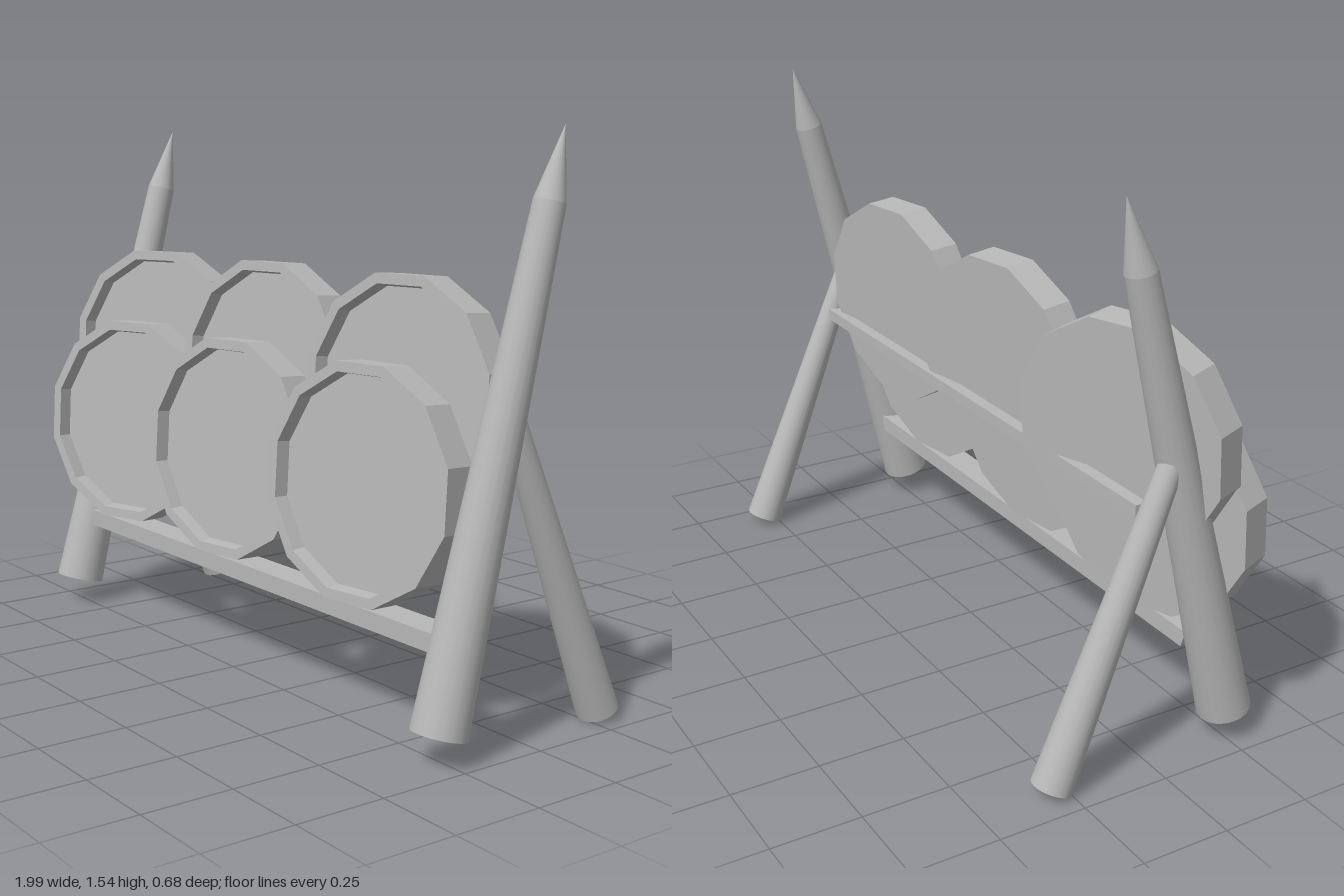
import * as THREE from 'three';

const grey = new THREE.MeshStandardMaterial({ color: 0xb8b8b8, side: THREE.DoubleSide });
grey.name = 'grey';

// Smooth open-ended pole between two points
function pole(name, a, b, ra, rb, sides = 20) {
  const from = new THREE.Vector3(...a), to = new THREE.Vector3(...b);
  const dir = to.clone().sub(from);
  const mesh = new THREE.Mesh(new THREE.CylinderGeometry(rb, ra, dir.length(), sides, 1, true), grey);
  mesh.name = name;
  mesh.position.copy(from).add(to).multiplyScalar(0.5);
  mesh.quaternion.setFromUnitVectors(new THREE.Vector3(0, 1, 0), dir.normalize());
  return mesh;
}

// Cross rail whose ends slant inward toward the bottom
function rail(name, x0, x1, y, z, h, d, slant) {
  const geo = new THREE.BoxGeometry(x1 - x0, h, d);
  const p = geo.attributes.position;
  for (let i = 0; i < p.count; i++) {
    if (p.getY(i) < 0) p.setX(i, p.getX(i) - Math.sign(p.getX(i)) * slant);
  }
  geo.computeVertexNormals();
  const mesh = new THREE.Mesh(geo, grey);
  mesh.name = name;
  mesh.position.set((x0 + x1) / 2, y, z);
  return mesh;
}

// Twelve-sided disc with a raised rim and a sunken front
function discGeometry() {
  const t = 0.047, r = 0.323;
  const profile = [[0, -t], [r, -t], [r, t], [0.294, t], [0.288, t - 0.04], [0, t - 0.04]]
    .map(([x, y]) => new THREE.Vector2(x, y));
  const geo = new THREE.LatheGeometry(profile, 12, Math.PI / 12).toNonIndexed();
  geo.rotateX(Math.PI / 2);
  geo.computeVertexNormals();
  return geo;
}

export function createModel() {
  const model = new THREE.Group();
  model.name = 'discRack';

  // Leaning pointed posts with rear props
  for (const [side, x, legX] of [['left', 0.92, 0.91], ['right', -0.895, -0.907]]) {
    const frame = new THREE.Group();
    frame.name = side + 'Frame';
    frame.add(
      pole('post', [x, 0.08, 0.265], [x, 1.355, -0.067], 0.074, 0.042),
      pole('postTip', [x, 1.355, -0.067], [x, 1.54, -0.115], 0.042, 0.0005),
      pole('backLeg', [legX, 0.025, -0.292], [legX, 0.85, 0.042], 0.057, 0.033)
    );
    model.add(frame);
  }

  // Cross rails
  model.add(rail('frontRail', -0.855, 0.88, 0.29, 0.2, 0.05, 0.09, 0.018));
  model.add(rail('backRail', -0.87, 0.88, 0.72, -0.017, 0.035, 0.036, 0));

  // Two overlapping rows of discs: x, y, z, yaw in degrees
  const geo = discGeometry();
  const discs = [
    [-0.683, 0.848, 0.068, 19], [-0.083, 0.848, 0.066, 9.5], [0.547, 0.85, 0.072, 8.7],
    [-0.678, 0.628, 0.172, 18], [-0.09, 0.628, 0.186, 9.5], [0.537, 0.628, 0.193, 8.7]
  ];
  discs.forEach(([x, y, z, yaw], i) => {
    const disc = new THREE.Mesh(geo, grey);
    disc.name = (i < 3 ? 'rearDisc' : 'frontDisc') + (i % 3 + 1);
    disc.position.set(x, y, z);
    disc.rotation.set(-0.065, THREE.MathUtils.degToRad(yaw), 0, 'YXZ');
    model.add(disc);
  });
  return model;
}
